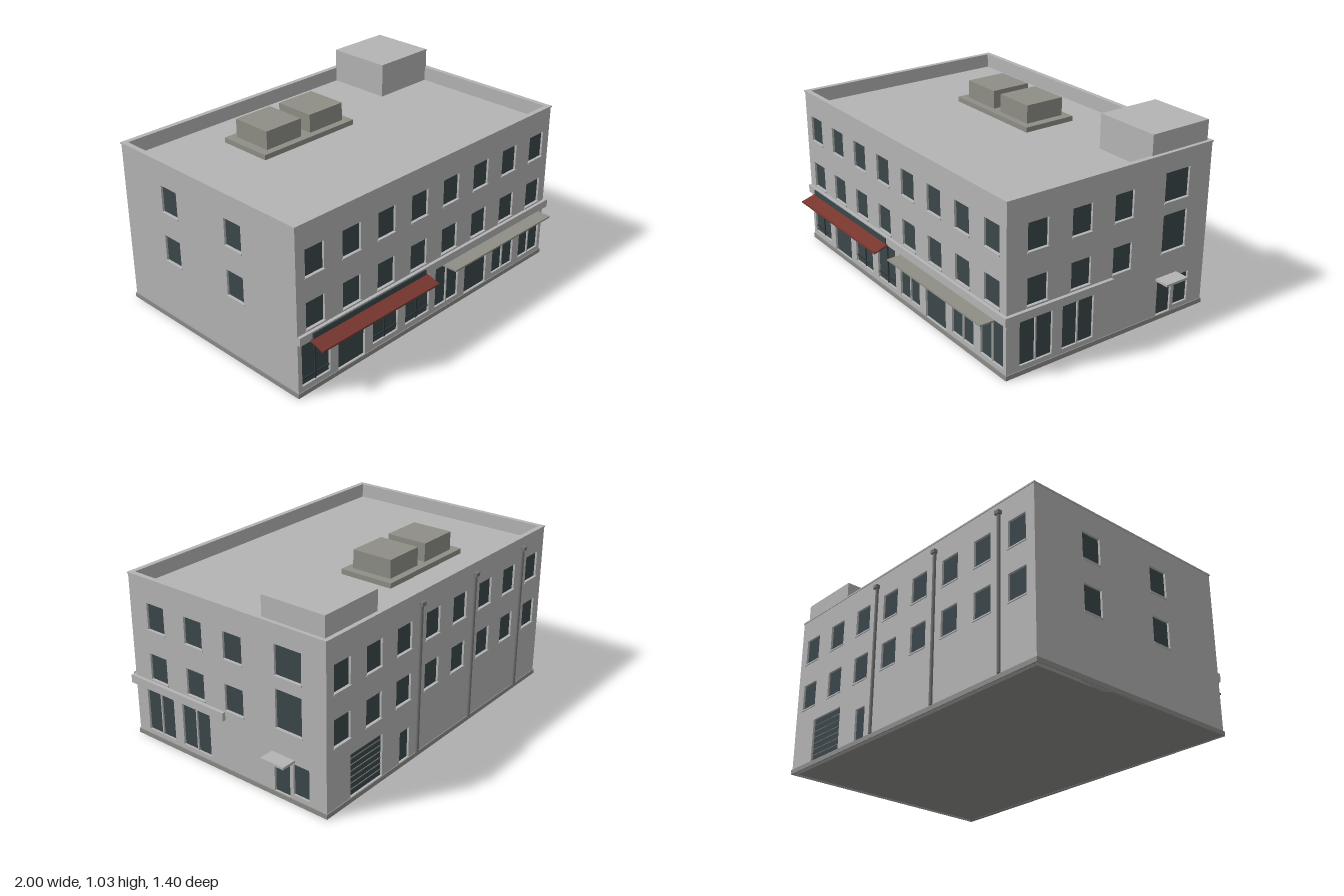
import * as THREE from 'three';

const mat = (name, color, side = THREE.FrontSide) => {
  const m = new THREE.MeshStandardMaterial({ color, side });
  m.name = name;
  return m;
};

export function createModel() {
  const wallMat = mat('wall grey', 0xb4b4b4);
  const plinthMat = mat('plinth grey', 0x8b8b88);
  const glassMat = mat('dark glass', 0x3b474b);
  const frameMat = mat('dark frame', 0x2e383c);
  const unitMat = mat('roof equipment grey', 0x8e8e86);
  const pipeMat = mat('pipe grey', 0x747474);
  const redMat = mat('awning red', 0x78372f);

  const model = new THREE.Group();
  model.name = 'building';

  // Box given by its extents
  const box = (parent, name, m, x0, x1, y0, y1, z0, z1) => {
    const mesh = new THREE.Mesh(new THREE.BoxGeometry(x1 - x0, y1 - y0, z1 - z0), m);
    mesh.position.set((x0 + x1) / 2, (y0 + y1) / 2, (z0 + z1) / 2);
    mesh.name = name;
    parent.add(mesh);
    return mesh;
  };
  const rect = (C, x0, x1, y0, y1) => {
    const p = new C();
    p.moveTo(x0, y0);
    p.lineTo(x1, y0);
    p.lineTo(x1, y1);
    p.lineTo(x0, y1);
    p.closePath();
    return p;
  };

  // Overall footprint
  const CX = -0.039, CZ = -0.04, HX = 0.956, HZ = 0.64, T = 0.025, TOP = 0.915, ROOF = 0.84;

  // One wall with recessed openings; local u runs rightwards as seen from outside
  const addWall = (name, angle, halfWidth, halfDepth, openings) => {
    const wall = new THREE.Group();
    wall.name = name;
    wall.position.set(CX, 0, CZ);
    wall.rotation.y = angle;
    const shape = rect(THREE.Shape, -halfWidth, halfWidth, 0, TOP);
    for (const o of openings) {
      const { u0, u1, y0, y1 } = o;
      shape.holes.push(rect(THREE.Path, u0, u1, y0, y1));
      const back = halfDepth - 0.012;
      box(wall, o.kind + 'Glass', glassMat, u0, u1, y0, y1, back - 0.008, back);
      const mid = (u0 + u1) / 2;
      if (o.kind === 'window') {
        box(wall, 'windowSill', wallMat, u0 - 0.004, u1 + 0.004, y0 - 0.008, y0, back, halfDepth + 0.005);
      }
      if (o.kind === 'shopWindow') {
        box(wall, 'mullion', wallMat, mid - 0.004, mid + 0.004, y0, y1, back, halfDepth - 0.003);
      }
      if (o.kind === 'darkShopWindow') {
        box(wall, 'mullion', frameMat, mid - 0.004, mid + 0.004, y0, y1, back, back + 0.006);
        box(wall, 'lowerRail', frameMat, u0, u1, y0 + 0.03, y0 + 0.037, back, back + 0.006);
      }
      if (o.kind === 'garageDoor') {
        for (let i = 1; i < 7; i++) {
          const y = y0 + (i * (y1 - y0)) / 7;
          box(wall, 'garageSlat', pipeMat, u0, u1, y - 0.002, y + 0.002, back, back + 0.004);
        }
      }
    }
    const geo = new THREE.ExtrudeGeometry(shape, { depth: T, bevelEnabled: false });
    geo.translate(0, 0, halfDepth - T);
    const mesh = new THREE.Mesh(geo, wallMat);
    mesh.name = name + 'Panel';
    wall.add(mesh);
    model.add(wall);
  };
  const open = (kind, a, b, y0, y1) => ({ kind, u0: Math.min(a, b), u1: Math.max(a, b), y0, y1 });
  const rows = [[0.357, 0.503], [0.637, 0.783]];
  const windowRows = (centres) =>
    centres.flatMap((c) => rows.map(([y0, y1]) => open('window', c - 0.06, c + 0.06, y0, y1)));
  const columns = Array.from({ length: 8 }, (_, i) => -0.877 + 0.24 * i);

  // Front: two window rows over shop windows and doors
  const fx = (kind, a, b, y0, y1) => open(kind, a - CX, b - CX, y0, y1);
  addWall('frontWall', 0, HX, HZ, [
    ...windowRows(columns.map((x) => x - CX)),
    fx('darkShopWindow', -0.97, -0.785, 0.053, 0.29),
    fx('door', -0.73, -0.545, 0.026, 0.236),
    fx('darkShopWindow', -0.488, -0.305, 0.053, 0.29),
    fx('darkShopWindow', -0.247, -0.064, 0.053, 0.29),
    fx('shopWindow', -0.015, 0.17, 0.05, 0.29),
    fx('door', 0.228, 0.411, 0.026, 0.236),
    fx('shopWindow', 0.468, 0.652, 0.05, 0.29),
    fx('shopWindow', 0.71, 0.893, 0.05, 0.29),
  ]);

  // Left side (+x): u runs towards -z
  const lz = (kind, a, b, y0, y1) => open(kind, CZ - a, CZ - b, y0, y1);
  addWall('leftWall', Math.PI / 2, HZ - T, HX, [
    ...windowRows([0.42, 0.158, -0.105].map((z) => CZ - z)),
    lz('window', -0.372, -0.534, 0.655, 0.815),
    lz('window', -0.372, -0.534, 0.378, 0.586),
    lz('door', -0.357, -0.455, 0.026, 0.22),
    lz('sideWindow', -0.477, -0.575, 0.05, 0.22),
    lz('shopWindow', 0.522, 0.327, 0.05, 0.29),
    lz('shopWindow', 0.265, 0.07, 0.05, 0.29),
  ]);

  // Back: u runs towards -x
  const bx = (kind, a, b, y0, y1) => open(kind, CX - a, CX - b, y0, y1);
  addWall('backWall', Math.PI, HX, HZ, [
    ...windowRows(columns.map((x) => CX - x)),
    bx('garageDoor', 0.49, 0.74, 0.026, 0.265),
    bx('door', 0.265, 0.345, 0.026, 0.2),
  ]);

  // Right side (-x): u runs towards +z
  addWall('rightWall', -Math.PI / 2, HZ - T, HX, windowRows([-0.31, 0.17].map((z) => z - CZ)));

  // Floor, plinth, roof deck and parapet coping
  const X0 = CX - HX, X1 = CX + HX, Z0 = CZ - HZ, Z1 = CZ + HZ;
  box(model, 'plinth', plinthMat, X0 - 0.005, X1 + 0.005, 0, 0.025, Z0 - 0.005, Z1 + 0.005);
  box(model, 'roofDeck', wallMat, X0 + T, X1 - T, ROOF - 0.02, ROOF, Z0 + T, Z1 - T);
  const ring = rect(THREE.Shape, X0 - 0.004, X1 + 0.004, -Z1 - 0.004, -Z0 + 0.004);
  ring.holes.push(rect(THREE.Path, X0 + T, X1 - T, -Z1 + T, -Z0 - T));
  const coping = new THREE.Mesh(new THREE.ExtrudeGeometry(ring, { depth: 0.008, bevelEnabled: false }), wallMat);
  coping.rotation.x = -Math.PI / 2;
  coping.position.y = 0.912;
  coping.name = 'parapetCoping';
  model.add(coping);

  // Roof equipment and stair housing
  box(model, 'stairHousing', wallMat, 0.52, 0.9, ROOF, 1.03, -0.66, -0.285);
  box(model, 'equipmentBase', unitMat, -0.52, 0.117, ROOF, 0.868, -0.44, -0.125);
  for (const x of [-0.47, -0.168]) {
    box(model, 'roofUnit', unitMat, x, x + 0.238, 0.868, 0.97, -0.402, -0.165);
  }

  // Band wrapping the front and the shop part of the left side
  box(model, 'frontBand', wallMat, X0, 0.936, 0.3, 0.345, Z1, 0.618);
  box(model, 'sideBand', wallMat, X1, 0.936, 0.3, 0.345, -0.04, Z1);

  // Sloping red awning under a dark sign panel
  box(model, 'signPanel', glassMat, -0.915, -0.12, 0.307, 0.338, 0.618, 0.624);
  const awning = new THREE.Group();
  awning.name = 'redAwning';
  awning.position.set(-0.518, 0.309, 0.615);
  awning.rotation.x = 0.31;
  box(awning, 'awningSheet', redMat, -0.412, 0.412, -0.008, 0, 0, 0.088);
  model.add(awning);
  box(model, 'awningValance', redMat, -0.93, -0.106, 0.274, 0.284, 0.693, 0.7);

  // Flat canopies
  box(model, 'frontCanopy', unitMat, 0.025, 0.85, 0.292, 0.301, Z1, 0.7);
  box(model, 'sideCanopy', wallMat, X1, 1, 0.23, 0.243, -0.487, -0.343);

  // Rain pipes with hoppers on the back
  for (const x of [-0.76, -0.283, 0.199]) {
    const pipe = new THREE.Mesh(new THREE.CylinderGeometry(0.009, 0.009, 0.825, 10), pipeMat);
    pipe.position.set(x, 0.4375, Z0 - 0.007);
    pipe.name = 'rainPipe';
    model.add(pipe);
    box(model, 'rainHopper', pipeMat, x - 0.015, x + 0.015, 0.846, 0.866, -0.703, Z0);
  }
  return model;
}
